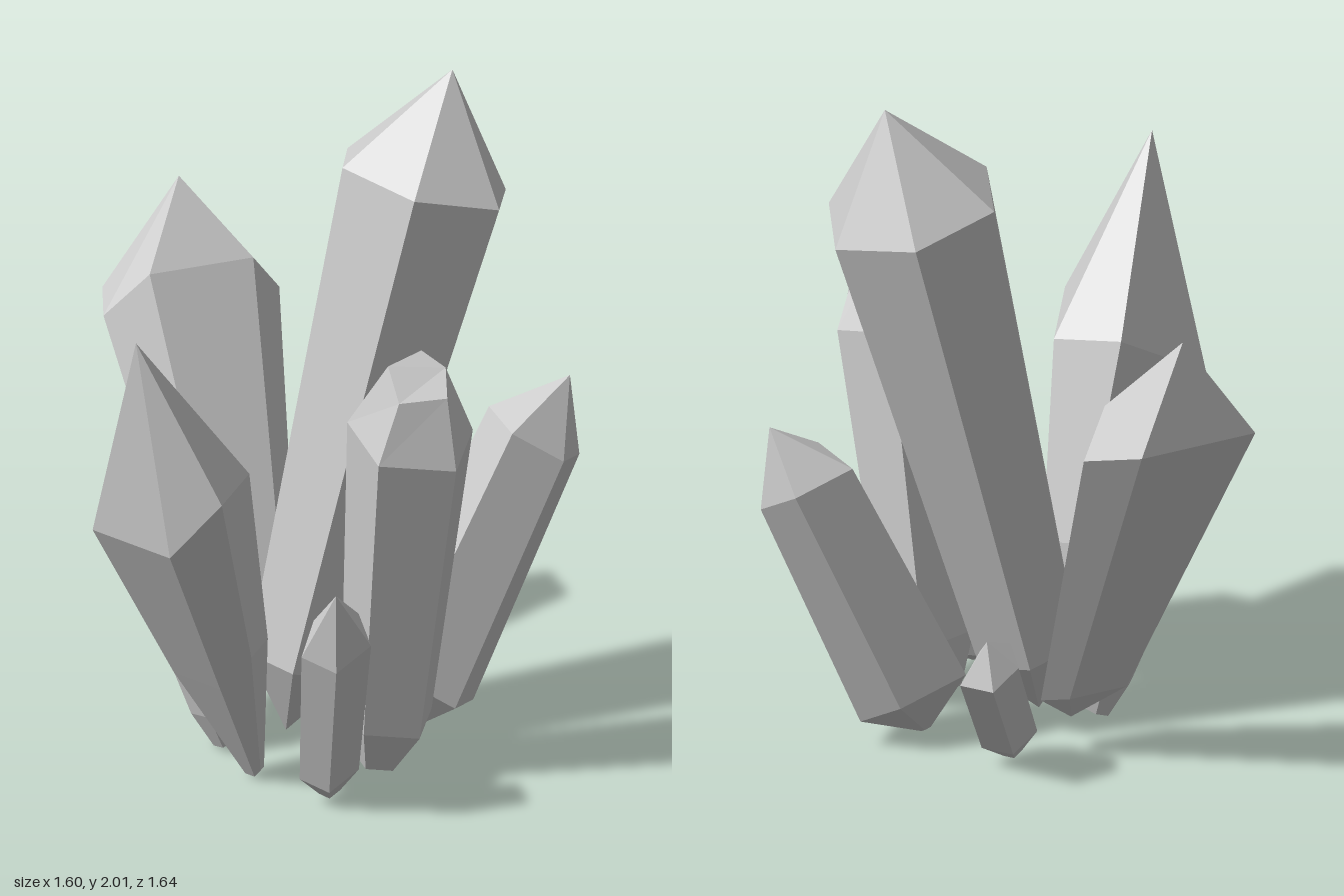
import * as THREE from 'three';

const material = new THREE.MeshStandardMaterial({ color: 0xcccccc, flatShading: true });

// A crystal is lofted from rings, bottom to top. `shoulder` is the widest ring,
// listed anticlockwise from above. Other levels are [x, y, z, scale], a scaled
// copy of the shoulder at that centre (scale 0 = a point), or an explicit ring.
function crystal(name, shoulder, bottom, base, top) {
  const n = shoulder.length;
  const pts = shoulder.map(p => new THREE.Vector3(...p));
  const centre = pts.reduce((s, p) => s.add(p), new THREE.Vector3()).divideScalar(n);
  const ring = level => Array.isArray(level[0])
    ? level.map(p => new THREE.Vector3(...p))
    : pts.map(p => p.clone().sub(centre).multiplyScalar(level[3])
      .add(new THREE.Vector3(level[0], level[1], level[2])));
  const rings = [ring(bottom), ring(base), pts, ring(top)];

  const out = [];
  const tri = (a, b, c) => {
    const area = b.clone().sub(a).cross(c.clone().sub(a)).length();
    if (area > 1e-7) for (const p of [a, b, c]) out.push(p.x, p.y, p.z);
  };
  // side facets
  for (let r = 0; r < rings.length - 1; r++) {
    for (let i = 0; i < n; i++) {
      const j = (i + 1) % n, lo = rings[r], hi = rings[r + 1];
      tri(lo[i], lo[j], hi[j]);
      tri(lo[i], hi[j], hi[i]);
    }
  }
  // end caps
  const first = rings[0], last = rings[rings.length - 1];
  for (let i = 1; i < n - 1; i++) {
    tri(first[0], first[i + 1], first[i]);
    tri(last[0], last[i], last[i + 1]);
  }
  const geometry = new THREE.BufferGeometry();
  geometry.setAttribute('position', new THREE.Float32BufferAttribute(out, 3));
  geometry.computeVertexNormals();
  const mesh = new THREE.Mesh(geometry, material);
  mesh.name = name;
  return mesh;
}

export function createModel() {
  const group = new THREE.Group();
  group.name = 'crystalCluster';
  group.add(
    // tallest crystal, leaning to +x
    crystal('mainCrystal',
      [[0.62, 1.6, 0.05], [0.49, 1.64, -0.18], [0.22, 1.71, -0.18],
        [0.1, 1.75, 0.05], [0.22, 1.71, 0.29], [0.49, 1.64, 0.29]],
      [-0.08, 0.03, 0.05, 0], [-0.04, 0.24, 0.05, 0.62], [0.45, 2, 0.05, 0]),
    // broad flat crystal leaning backwards
    crystal('backCrystal',
      [[0.23, 1.1, -0.68], [0.12, 1.13, -0.82], [-0.27, 1.13, -0.82],
        [-0.33, 1.1, -0.68], [-0.21, 1.23, -0.62], [0.12, 1.23, -0.62]],
      [-0.05, 0.08, -0.17, 0], [-0.06, 0.2, -0.23, 0.5], [-0.04, 1.45, -0.79, 0]),
    // blunt crystal leaning forwards
    crystal('frontCrystal',
      [[0.27, 1.1, 0.59], [0.21, 1.14, 0.4], [-0.08, 1.14, 0.48],
        [-0.08, 1.08, 0.7], [0.14, 1.05, 0.76]],
      [0.08, 0.02, 0.35, 0.35], [0.1, 0.17, 0.39, 0.72],
      [[0.17, 1.32, 0.62], [0.12, 1.36, 0.56], [0, 1.34, 0.59],
        [-0.01, 1.26, 0.69], [0.13, 1.265, 0.72]]),
    // sharp crystal on the right
    crystal('rightCrystal',
      [[-0.36, 1, 0.41], [-0.47, 1.03, 0.22], [-0.8, 0.85, 0.28],
        [-0.69, 0.85, 0.58], [-0.57, 1.03, 0.68]],
      [-0.27, 0.01, 0.26, 0.12], [-0.38, 0.4, 0.31, 0.6], [-0.78, 1.52, 0.54, 0]),
    // leaning crystal on the left
    crystal('leftCrystal',
      [[0.8, 0.79, 0.17], [0.75, 0.85, 0.06], [0.58, 0.92, 0.02],
        [0.55, 0.92, 0.25], [0.7, 0.82, 0.28]],
      [0.26, 0.01, 0.13, 0.1], [0.33, 0.15, 0.13, 1.15], [0.77, 1.04, 0.17, 0]),
    // small crystals around the foot
    crystal('smallFrontCrystal',
      [[-0.14, 0.56, 0.78], [-0.13, 0.62, 0.67], [-0.25, 0.6, 0.62],
        [-0.33, 0.53, 0.71], [-0.26, 0.5, 0.8]],
      [-0.15, 0.02, 0.51, 0.3], [-0.16, 0.1, 0.53, 0.85], [-0.27, 0.75, 0.82, 0]),
    crystal('smallBackLeftCrystal',
      [[0.42, 0.32, -0.31], [0.37, 0.32, -0.41], [0.27, 0.37, -0.39],
        [0.24, 0.41, -0.3], [0.32, 0.39, -0.26]],
      [0.14, 0.01, -0.16, 0.3], [0.17, 0.09, -0.2, 0.95], [0.36, 0.46, -0.36, 0]),
    crystal('smallBackRightCrystal',
      [[-0.31, 0.84, -0.16], [-0.39, 0.79, -0.28], [-0.5, 0.75, -0.27],
        [-0.55, 0.74, -0.21], [-0.54, 0.77, -0.07], [-0.4, 0.84, -0.05]],
      [-0.24, 0.01, 0, 0.4], [-0.26, 0.13, -0.01, 0.8], [-0.45, 0.9, -0.22, 0.4]),
  );
  return group;
}
